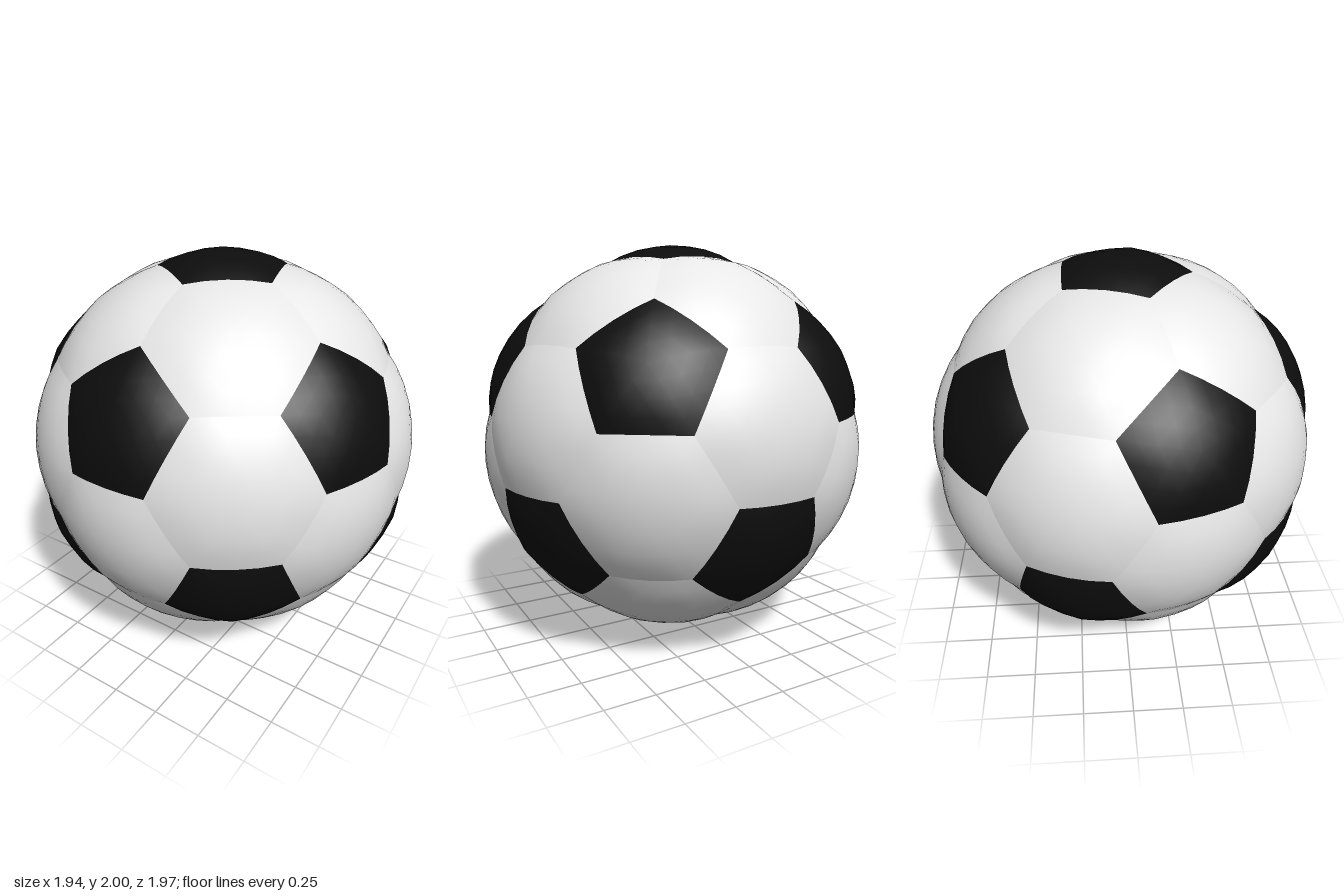
import * as THREE from 'three';

const SEAM_RADIUS = 0.967;              // radius along the stitched seams
const CORNER_ANGLE = 20.7 * Math.PI / 180; // pentagon centre to pentagon corner
const STEPS = 4;                        // subdivisions from panel centre to seam

// Twelve pentagon axes: two poles and two staggered rings of five
function pentagonAxes() {
  const axes = [new THREE.Vector3(0, 1, 0), new THREE.Vector3(0, -1, 0)];
  const y = 1 / Math.sqrt(5), r = 2 / Math.sqrt(5);
  for (let k = 0; k < 5; k++) {
    const up = k * Math.PI * 0.4, down = up + Math.PI * 0.2;
    axes.push(new THREE.Vector3(r * Math.sin(up), y, r * Math.cos(up)));
    axes.push(new THREE.Vector3(r * Math.sin(down), -y, r * Math.cos(down)));
  }
  return axes;
}

// Corner of the pentagon around a that points towards neighbour b
function corner(a, b) {
  const side = b.clone().addScaledVector(a, -a.dot(b)).normalize();
  return a.clone().multiplyScalar(Math.cos(CORNER_ANGLE))
    .addScaledVector(side, Math.sin(CORNER_ANGLE));
}

// Domed panel: a subdivided fan, swelling from the seam up to the peak radius
function panelGeometry(corners, peak) {
  const n = corners.length;
  const centre = new THREE.Vector3();
  corners.forEach(c => centre.addScaledVector(c, 1 / n));
  const positions = [], index = [];
  const addPoint = (p, t) => {
    const r = SEAM_RADIUS + (peak - SEAM_RADIUS) * (1 - t * t);
    positions.push(...p.clone().setLength(r).toArray());
  };
  const at = (ring, k) => ring === 0 ? 0 : 1 + n * ring * (ring - 1) / 2 + k % (n * ring);

  addPoint(centre, 0);
  for (let i = 1; i <= STEPS; i++) {
    for (let s = 0; s < n; s++) {
      for (let j = 0; j < i; j++) {
        const rim = corners[s].clone().lerp(corners[(s + 1) % n], j / i);
        addPoint(centre.clone().lerp(rim, i / STEPS), i / STEPS);
        const inner = at(i - 1, s * (i - 1) + j);
        const outer = at(i, s * i + j), next = at(i, s * i + j + 1);
        index.push(inner, outer, next);
        if (j < i - 1) index.push(inner, next, at(i - 1, s * (i - 1) + j + 1));
      }
    }
  }
  const geometry = new THREE.BufferGeometry();
  geometry.setAttribute('position', new THREE.Float32BufferAttribute(positions, 3));
  geometry.setIndex(index);
  geometry.computeVertexNormals();
  return geometry;
}

export function createModel() {
  const white = new THREE.MeshStandardMaterial({ color: 0xe7e7e7 });
  white.name = 'white leather';
  const black = new THREE.MeshStandardMaterial({ color: 0x0d0d0d });
  black.name = 'black leather';

  const ball = new THREE.Group();
  ball.name = 'football';
  ball.position.y = 1;
  const addPanel = (name, corners, peak, material) => {
    const mesh = new THREE.Mesh(panelGeometry(corners, peak), material);
    mesh.name = name;
    ball.add(mesh);
  };

  const axes = pentagonAxes();
  const adjacent = (a, b) => a !== b && a.dot(b) > 0.4;

  // Black pentagons, corners sorted anticlockwise around each axis
  for (const a of axes) {
    const near = axes.filter(b => adjacent(a, b));
    const u = near[0].clone().addScaledVector(a, -a.dot(near[0])).normalize();
    const v = a.clone().cross(u);
    const angle = b => Math.atan2(b.dot(v), b.dot(u));
    near.sort((p, q) => angle(p) - angle(q));
    addPanel('pentagonPanel', near.map(b => corner(a, b)), 1, black);
  }

  // White hexagons, one between every three neighbouring pentagons
  for (let i = 0; i < 12; i++) for (let j = i + 1; j < 12; j++) for (let k = j + 1; k < 12; k++) {
    let [a, b, c] = [axes[i], axes[j], axes[k]];
    if (!adjacent(a, b) || !adjacent(b, c) || !adjacent(a, c)) continue;
    if (a.clone().cross(b).dot(c) < 0) [b, c] = [c, b];
    addPanel('hexagonPanel', [corner(a, b), corner(b, a), corner(b, c),
      corner(c, b), corner(c, a), corner(a, c)], 0.99, white);
  }

  const model = new THREE.Group();
  model.name = 'ball';
  model.add(ball);
  return model;
}
